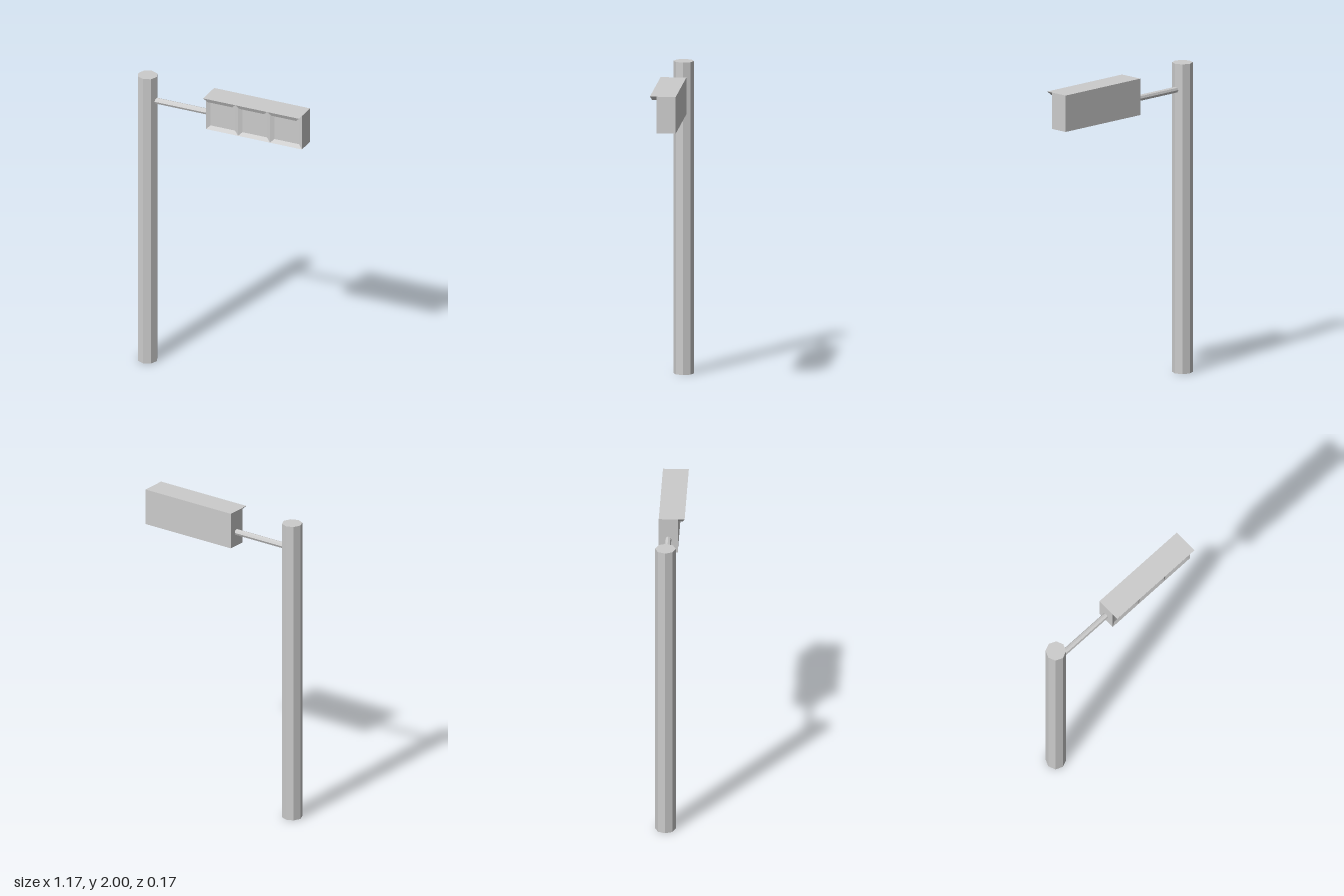
import * as THREE from 'three';

const material = new THREE.MeshStandardMaterial({ color: 0xcccccc, flatShading: true });

function addMesh(parent, name, geometry) {
  const mesh = new THREE.Mesh(geometry, material);
  mesh.name = name;
  parent.add(mesh);
  return mesh;
}

// Flat-shaded surface from quads, corners counter-clockwise seen from outside
function quads(list) {
  const pos = list.flatMap(([a, b, c, d]) => [a, b, c, a, c, d].flat());
  const geometry = new THREE.BufferGeometry();
  geometry.setAttribute('position', new THREE.Float32BufferAttribute(pos, 3));
  geometry.computeVertexNormals();
  return geometry;
}

// Corners of an upright rectangle: bottom left, bottom right, top right, top left
const rect = (x0, x1, y0, y1, z) => [[x0, y0, z], [x1, y0, z], [x1, y1, z], [x0, y1, z]];

export function createModel() {
  const group = new THREE.Group();
  group.name = 'trafficSignal';

  // Octagonal pole
  const pole = addMesh(group, 'pole', new THREE.CylinderGeometry(0.065, 0.065, 2, 8));
  pole.position.set(-0.52, 1, -0.02);

  // Horizontal arm from pole to housing
  const armStart = -0.5, armEnd = -0.08;
  const arm = addMesh(group, 'arm', new THREE.CylinderGeometry(0.02, 0.02, armEnd - armStart, 8));
  arm.rotation.z = Math.PI / 2;
  arm.position.set((armStart + armEnd) / 2, 1.832, -0.02);

  // Housing shell, open at the front
  const x0 = -0.085, x1 = 0.583, y0 = 1.74, y1 = 1.975, back = -0.08, front = 0.04;
  const f = rect(x0, x1, y0, y1, front), b = rect(x0, x1, y0, y1, back);
  addMesh(group, 'housing', quads([
    [b[1], b[0], b[3], b[2]],
    [f[3], f[2], b[2], b[3]],
    [b[0], b[1], f[1], f[0]],
    [f[1], b[1], b[2], f[2]],
    [b[0], f[0], f[3], b[3]],
  ]));

  // Three recessed panels, each with a visor pushed out from its top bevel
  const inset = 0.026, depth = 0.012, reach = 0.043;
  const width = (x1 - x0) / 3;
  for (let i = 0; i < 3; i++) {
    const l = x0 + i * width, r = l + width;
    const o = rect(l, r, y0, y1, front);
    const n = rect(l + inset, r - inset, y0 + inset, y1 - inset, front - depth);
    addMesh(group, 'signalPanel' + (i + 1), quads([
      n,
      [o[0], o[1], n[1], n[0]],
      [o[1], o[2], n[2], n[1]],
      [o[3], o[0], n[0], n[3]],
    ]));

    const push = ([x, y, z]) => [x, y, z + reach];
    const [tl, tr, bl, br] = [o[3], o[2], n[3], n[2]];
    addMesh(group, 'visor' + (i + 1), quads([
      [push(bl), push(br), push(tr), push(tl)],
      [push(tl), push(tr), tr, tl],
      [bl, br, push(br), push(bl)],
      [push(br), br, tr, push(tr)],
      [bl, push(bl), push(tl), tl],
    ]));
  }
  return group;
}
